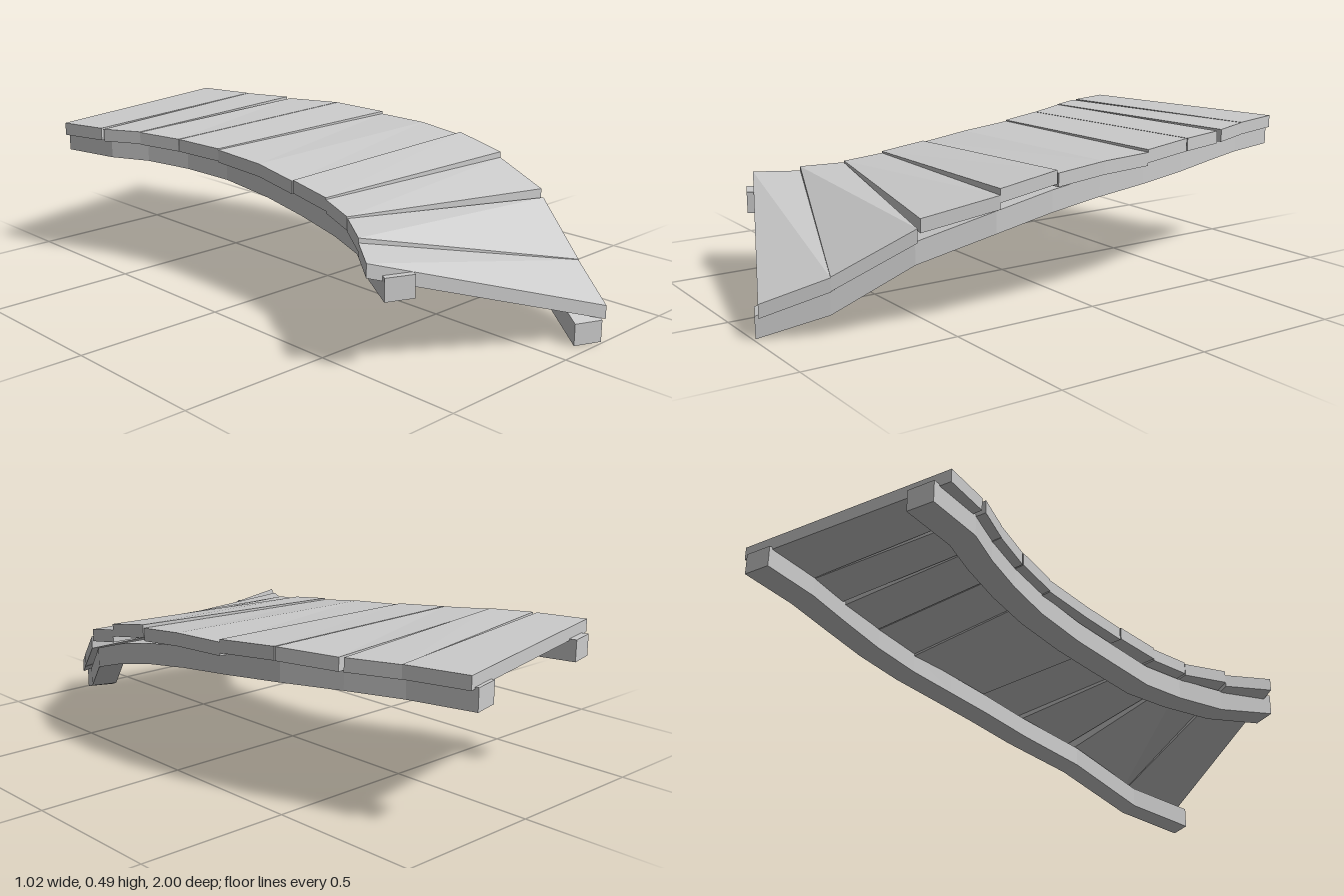
import * as THREE from 'three';

const material = new THREE.MeshStandardMaterial({ color: 0xcccccc, flatShading: true });
const lerp = THREE.MathUtils.lerp;

// Plank joints from the low front end to the high back end:
// left end x, y, z, then right end x, y, z (top surface)
const joints = [
  [-0.51, 0.34, 0.685, 0.21, 0.11, 0.99],
  [-0.41, 0.345, 0.555, 0.315, 0.185, 0.81],
  [-0.33, 0.373, 0.43, 0.425, 0.32, 0.585],
  [-0.295, 0.397, 0.30, 0.495, 0.40, 0.345],
  [-0.285, 0.425, 0.14, 0.51, 0.455, 0.15],
  [-0.28, 0.445, -0.03, 0.51, 0.462, -0.03],
  [-0.295, 0.46, -0.22, 0.495, 0.466, -0.22],
  [-0.335, 0.475, -0.38, 0.455, 0.485, -0.42],
  [-0.39, 0.483, -0.53, 0.39, 0.481, -0.62],
  [-0.455, 0.484, -0.655, 0.325, 0.484, -0.80],
  [-0.50, 0.485, -0.83, 0.27, 0.485, -1.0],
];
// Small misfits at the front edge of each plank: left rise, right rise, left gap, right gap
const misfits = {
  1: [0.015, 0.002, 0, 0], 2: [0.005, 0.028, 0.002, 0.01], 3: [0.006, 0.02, 0, 0],
  4: [-0.004, -0.01, 0.005, 0.005], 6: [0.004, 0.009, 0, 0], 7: [0, 0, 0.004, 0.004],
  8: [0.002, 0.003, 0, 0.02], 9: [0.001, 0.001, 0.015, 0],
};
// Underside heights of the two beams at each joint
const leftBeamY = [0.228, 0.226, 0.255, 0.272, 0.3, 0.325, 0.35, 0.365, 0.375, 0.376, 0.377];
const rightBeamY = [0, 0.065, 0.205, 0.278, 0.32, 0.345, 0.36, 0.371, 0.377, 0.378, 0.378];

// Solid through a row of sections, each given by its left and right top corners and a thickness
function loft(name, sections, thickness) {
  const pos = [];
  const quad = (a, b, c, d) => pos.push(...a, ...b, ...c, ...a, ...c, ...d);
  const down = ([x, y, z]) => [x, y - thickness, z];
  const rings = sections.map(([l, r]) => [l, r, down(r), down(l)]);
  for (let i = 0; i < rings.length - 1; i++) {
    for (let k = 0; k < 4; k++) {
      const n = (k + 1) % 4;
      quad(rings[i][k], rings[i][n], rings[i + 1][n], rings[i + 1][k]);
    }
  }
  const [a, b, c, d] = rings[0];
  quad(d, c, b, a);
  quad(...rings[rings.length - 1]);
  const geometry = new THREE.BufferGeometry();
  geometry.setAttribute('position', new THREE.Float32BufferAttribute(pos, 3));
  geometry.computeVertexNormals();
  const mesh = new THREE.Mesh(geometry, material);
  mesh.name = name;
  return mesh;
}

// Beam following the curve between two fractions of the deck width, with level cross-sections
function beam(name, from, to, heights, height, overhang) {
  const last = joints.length - 1;
  const sections = joints.map(([lx, , lz, rx, , rz], i) => {
    // the ends poke out slightly beyond the deck
    const reach = i === 0 ? overhang : i === last ? -overhang : 0;
    return [from, to].map((f) => [lerp(lx, rx, f), heights[i] + height, lerp(lz, rz, f) + reach]);
  });
  return loft(name, sections, height);
}

export function createModel() {
  const group = new THREE.Group();
  group.name = 'curvedPlankBridge';

  // Deck planks
  const deck = new THREE.Group();
  deck.name = 'deck';
  for (let i = 0; i < joints.length - 1; i++) {
    const f = joints[i];
    const b = joints[i + 1];
    const [riseL, riseR, gapL, gapR] = misfits[i] ?? [0, 0, 0, 0];
    deck.add(loft('plank', [
      [[f[0], f[1] + riseL, f[2] - gapL], [f[3], f[4] + riseR, f[5] - gapR]],
      [b.slice(0, 3), b.slice(3)],
    ], 0.043));
  }
  group.add(deck);

  // Supporting beams
  group.add(beam('leftBeam', 0.045, 0.165, leftBeamY, 0.071, 0.025));
  group.add(beam('rightBeam', 0.85, 0.97, rightBeamY, 0.07, 0.012));
  return group;
}
